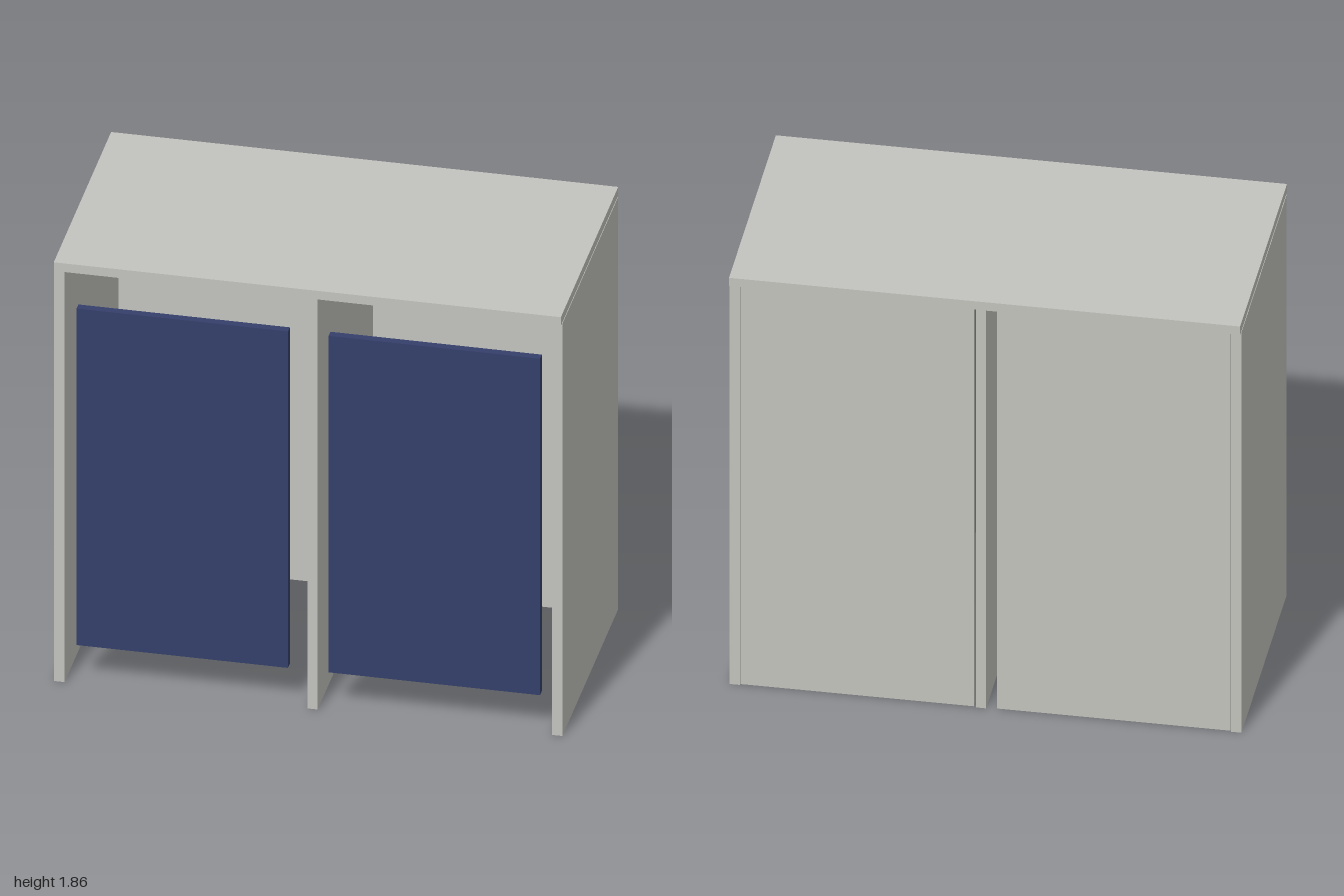
import * as THREE from 'three';

export function createModel() {
  const group = new THREE.Group();
  const grey = new THREE.MeshStandardMaterial({ color: 0xc3c3be });
  grey.name = 'light grey';
  const navy = new THREE.MeshStandardMaterial({ color: 0x343f6a });
  navy.name = 'navy blue';

  // Box given by its extents on each axis
  function panel(name, material, [x0, x1], [y0, y1], [z0, z1]) {
    const mesh = new THREE.Mesh(new THREE.BoxGeometry(x1 - x0, y1 - y0, z1 - z0), material);
    mesh.position.set((x0 + x1) / 2, (y0 + y1) / 2, (z0 + z1) / 2);
    mesh.name = name;
    group.add(mesh);
  }

  const wallTop = 1.826;

  // Worktop with a small overhang front and back
  panel('worktop', grey, [-0.998, 0.998], [wallTop, 1.864], [-0.517, 0.517]);

  // Upright between the two bays, slightly off centre
  panel('divider', grey, [-0.003, 0.037], [0, wallTop], [-0.5, 0.5]);

  // Side wall, back and door of each bay
  for (const [side, s] of [['right', -1], ['left', 1]]) {
    const span = (a, b) => (s > 0 ? [a, b] : [-b, -a]);
    panel(side + 'Side', grey, span(0.959, 1), [0, wallTop], [-0.5, 0.5]);
    panel(side + 'Back', grey, span(0.045, 0.957), [0.003, wallTop], [-0.498, -0.458]);
    panel(side + 'Door', navy, span(0.08, 0.912), [0.17, 1.66], [0.467, 0.5]);
  }

  return group;
}
